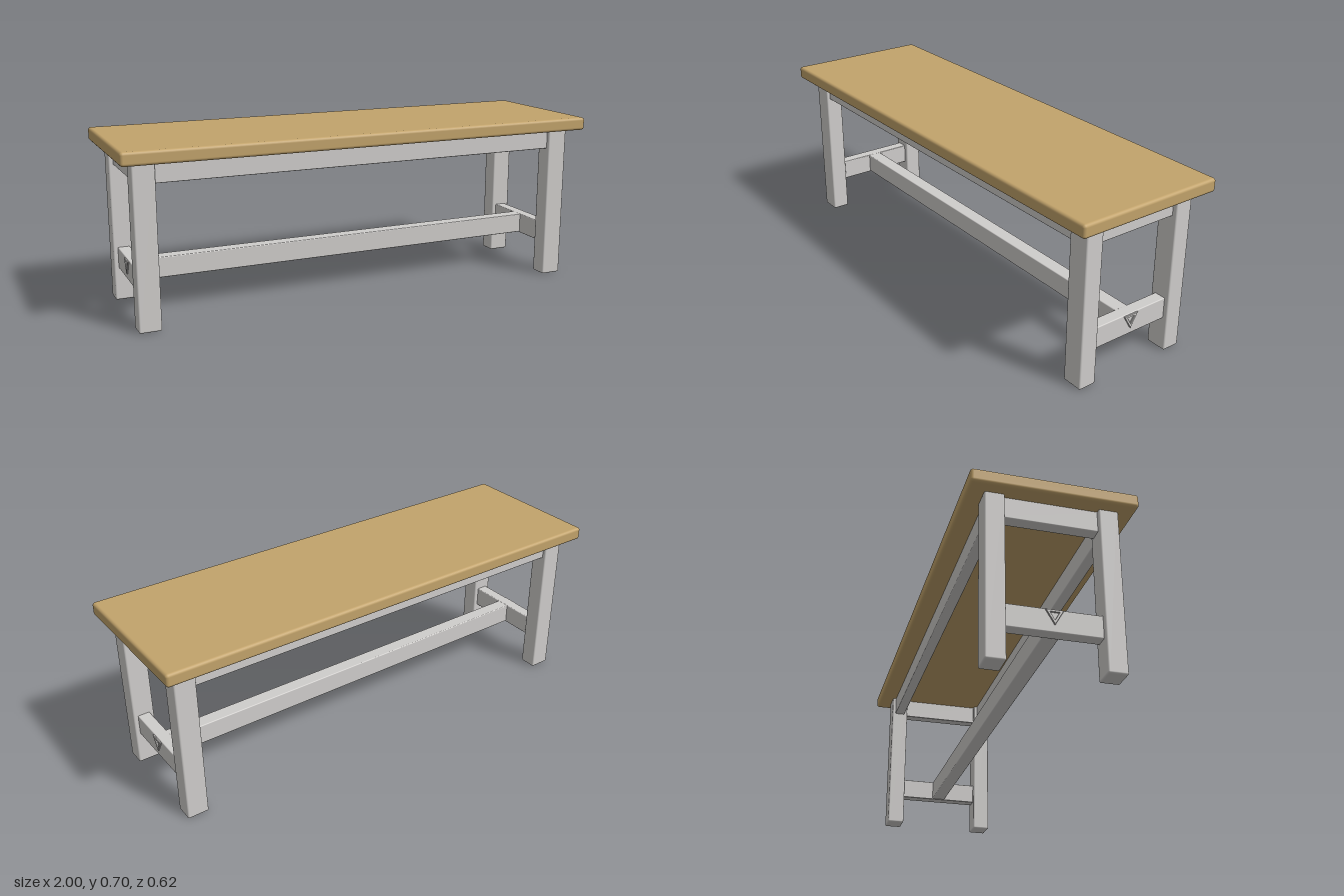
import * as THREE from 'three';
import { RoundedBoxGeometry } from 'three/addons/geometries/RoundedBoxGeometry.js';

export function createModel() {
  const bench = new THREE.Group();
  bench.name = 'bench';
  const wood = new THREE.MeshStandardMaterial({ color: 0xc2a36b });
  wood.name = 'oak';
  const paint = new THREE.MeshStandardMaterial({ color: 0xcfcdcb });
  paint.name = 'pale grey paint';

  // Softly rounded beam from its size and centre
  function beam(name, [w, h, d], [x, y, z], radius, material = paint) {
    const mesh = new THREE.Mesh(new RoundedBoxGeometry(w, h, d, 3, radius), material);
    mesh.name = name;
    mesh.position.set(x, y, z);
    bench.add(mesh);
    return mesh;
  }

  const legX = 0.906, legZ = 0.2125;

  // Seat board
  beam('seat', [2, 0.054, 0.624], [0, 0.678, 0], 0.012, wood);

  // Small triangular frame around the joint of the long stretcher
  const triangle = (r, Type) => new Type([-90, 30, 150].map((deg) => {
    const a = THREE.MathUtils.degToRad(deg);
    return new THREE.Vector2(Math.cos(a) * r, Math.sin(a) * r);
  }));
  const frameShape = triangle(0.036, THREE.Shape);
  frameShape.holes.push(triangle(0.022, THREE.Path));
  const frameGeometry = new THREE.ExtrudeGeometry(frameShape, {
    depth: 0.004, bevelEnabled: true, bevelThickness: 0.002, bevelSize: 0.002, bevelSegments: 1,
  });

  for (const side of [-1, 1]) {
    const sideName = side > 0 ? 'left' : 'right';

    // Legs at both corners of this end
    for (const end of [-1, 1]) {
      beam(`${sideName}${end > 0 ? 'Front' : 'Back'}Leg`,
        [0.088, 0.654, 0.075], [side * legX, 0.327, end * legZ], 0.007);
    }

    // Cross rails between the legs
    beam(`${sideName}EndApron`, [0.05, 0.086, 0.37], [side * legX, 0.61, 0], 0.004);
    beam(`${sideName}EndStretcher`, [0.05, 0.088, 0.37], [side * legX, 0.18, 0], 0.004);

    // Joint detail on the outer face
    const joint = new THREE.Mesh(frameGeometry, paint);
    joint.name = `${sideName}JointFrame`;
    joint.rotation.y = side * Math.PI / 2;
    joint.position.set(side * (legX + 0.025), 0.201, 0);
    bench.add(joint);

    // Long apron under the seat
    beam(side > 0 ? 'frontApron' : 'backApron', [1.76, 0.086, 0.045], [0, 0.61, side * legZ], 0.004);
  }

  // Long stretcher joining both ends
  beam('longStretcher', [1.8, 0.084, 0.06], [0, 0.181, 0], 0.004);

  return bench;
}
